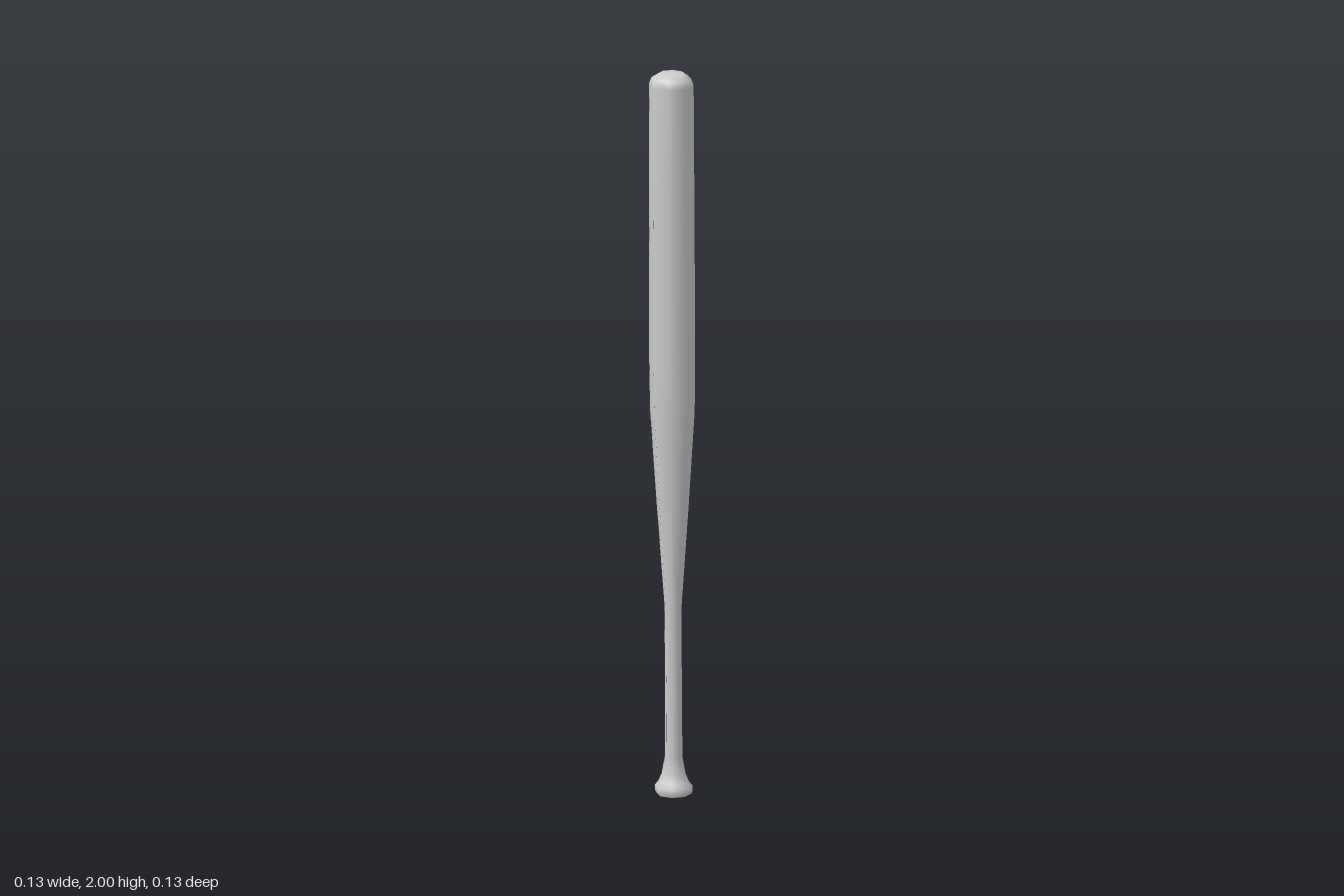
import * as THREE from 'three';

const SIDES = 8;

// Turns a [radius, height] profile, listed from bottom to top, into an eight-sided smooth part
function turned(name, profile, material) {
  const points = profile.map(([r, y]) => new THREE.Vector2(r, y));
  const mesh = new THREE.Mesh(new THREE.LatheGeometry(points, SIDES), material);
  mesh.name = name;
  return mesh;
}

export function createModel() {
  const group = new THREE.Group();
  group.name = 'baseballBat';
  const material = new THREE.MeshStandardMaterial({ color: 0xcccccc });

  // The whole bat leans very slightly towards -x
  const bat = new THREE.Group();
  bat.name = 'bat';
  bat.position.x = 0.006;
  bat.rotation.z = 0.0055;
  group.add(bat);

  // Flat underside of the knob
  bat.add(turned('knobBase', [[0, 0], [0.047, 0.002]], material));

  // Knob, handle, taper, barrel and rounded tip in one continuous profile
  bat.add(turned('batBody', [
    [0.047, 0.002], [0.052, 0.012], [0.052, 0.026], [0.042, 0.038], // knob
    [0.033, 0.06], [0.025, 0.105],                                  // flare into the handle
    [0.024, 0.3], [0.024, 0.52],                                    // handle
    [0.044, 0.8], [0.061, 1.06],                                    // taper
    [0.063, 1.2], [0.0625, 1.6], [0.0615, 1.965],                   // barrel
    [0.054, 1.985], [0.035, 1.997], [0, 2],                         // rounded tip
  ], material));

  return group;
}
